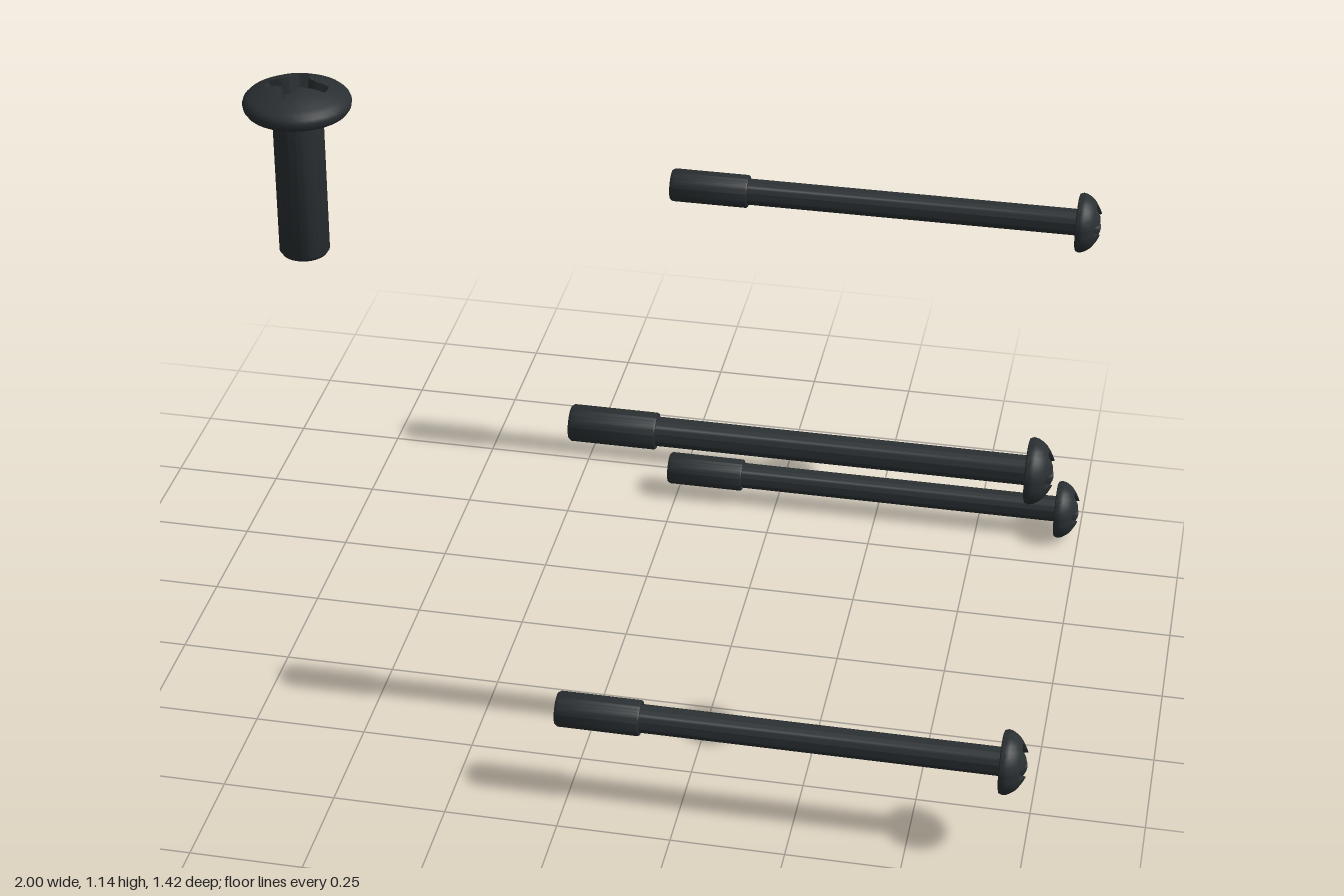
import * as THREE from 'three';
import { toCreasedNormals } from 'three/addons/utils/BufferGeometryUtils.js';

const material = new THREE.MeshStandardMaterial({ color: 0x2a2f32 });

// Closed outline of a cross-shaped recess: arm length l, half width w, filleted inner corners
function crossOutline(l, w) {
  const half = [[l, 0], [l, w * 0.5], [l * 0.98, w * 0.9], [l * 0.9, w], [l * 0.72, w],
    [l * 0.56, w * 1.05], [l * 0.46, w * 1.25]];
  const f = w * 1.45;
  const quarter = [...half, [f, f], ...half.slice(1).reverse().map(([x, z]) => [z, x])];
  const points = [];
  for (let q = 0; q < 4; q++) {
    const c = Math.round(Math.cos(q * Math.PI / 2)), s = Math.round(Math.sin(q * Math.PI / 2));
    for (const [x, z] of quarter) points.push([x * c - z * s, x * s + z * c]);
  }
  return points;
}

// One screw along y: recess floor, recess walls, dome, then the turned profile down to the tip
function screwGeometry({ top, drop, domeRadius, arm, armWidth, depth, profile }) {
  const cross = crossOutline(arm, armWidth);
  const dome = r => top - drop * (r / domeRadius) ** 2;
  const rings = [];
  rings.push(cross.map(() => [0, top - depth, 0]));
  rings.push(cross.map(([x, z]) => [x * 0.85, top - depth, z * 0.85]));
  for (let j = 0; j <= 5; j++) {
    rings.push(cross.map(([x, z]) => {
      const r = Math.hypot(x, z);
      const k = THREE.MathUtils.lerp(r, domeRadius, j / 5);
      return [x / r * k, dome(k), z / r * k];
    }));
  }
  for (const [radius, y] of profile) {
    rings.push(cross.map(([x, z]) => {
      const r = Math.hypot(x, z);
      return [x / r * radius, y, z / r * radius];
    }));
  }
  const n = cross.length, last = rings.length - 2, pos = [];
  for (let k = 0; k <= last; k++) {
    for (let i = 0; i < n; i++) {
      const j = (i + 1) % n;
      const a = rings[k][i], b = rings[k][j], c = rings[k + 1][i], d = rings[k + 1][j];
      if (k > 0) pos.push(...a, ...b, ...c);
      if (k < last) pos.push(...b, ...d, ...c);
    }
  }
  const geometry = new THREE.BufferGeometry();
  geometry.setAttribute('position', new THREE.Float32BufferAttribute(pos, 3));
  return toCreasedNormals(geometry, 0.6);
}

export function createModel() {
  const group = new THREE.Group();

  // Long screws lying along x, heads towards +x, with a thicker threaded end
  const longGeometry = screwGeometry({
    top: 1, drop: 0.024, domeRadius: 0.057, arm: 0.047, armWidth: 0.0125, depth: 0.032,
    profile: [[0.063, 0.968], [0.068, 0.959], [0.07, 0.95], [0.067, 0.942], [0.06, 0.94],
      [0.031, 0.94], [0.031, 0.165], [0.037, 0.165], [0.039, 0.162], [0.039, -0.014],
      [0.035, -0.02], [0, -0.02]],
  });
  longGeometry.rotateZ(-Math.PI / 2);
  [[0.86, 0.48], [0.86, -0.64], [0.237, 0.645], [0.071, -0.64]].forEach(([y, z], i) => {
    const screw = new THREE.Mesh(longGeometry, material);
    screw.name = `longScrew${i + 1}`;
    screw.position.set(0, y, z);
    group.add(screw);
  });

  // Short upright screw with a wide pan head
  const shortScrew = new THREE.Mesh(screwGeometry({
    top: 1.144, drop: 0.028, domeRadius: 0.105, arm: 0.075, armWidth: 0.018, depth: 0.045,
    profile: [[0.117, 1.11], [0.125, 1.102], [0.128, 1.093], [0.126, 1.081], [0.12, 1.073],
      [0.112, 1.071], [0.06, 1.071], [0.06, 0.707], [0.054, 0.698], [0, 0.698]],
  }), material);
  shortScrew.name = 'shortScrew';
  shortScrew.position.set(-0.872, 0, -0.434);
  group.add(shortScrew);

  return group;
}
